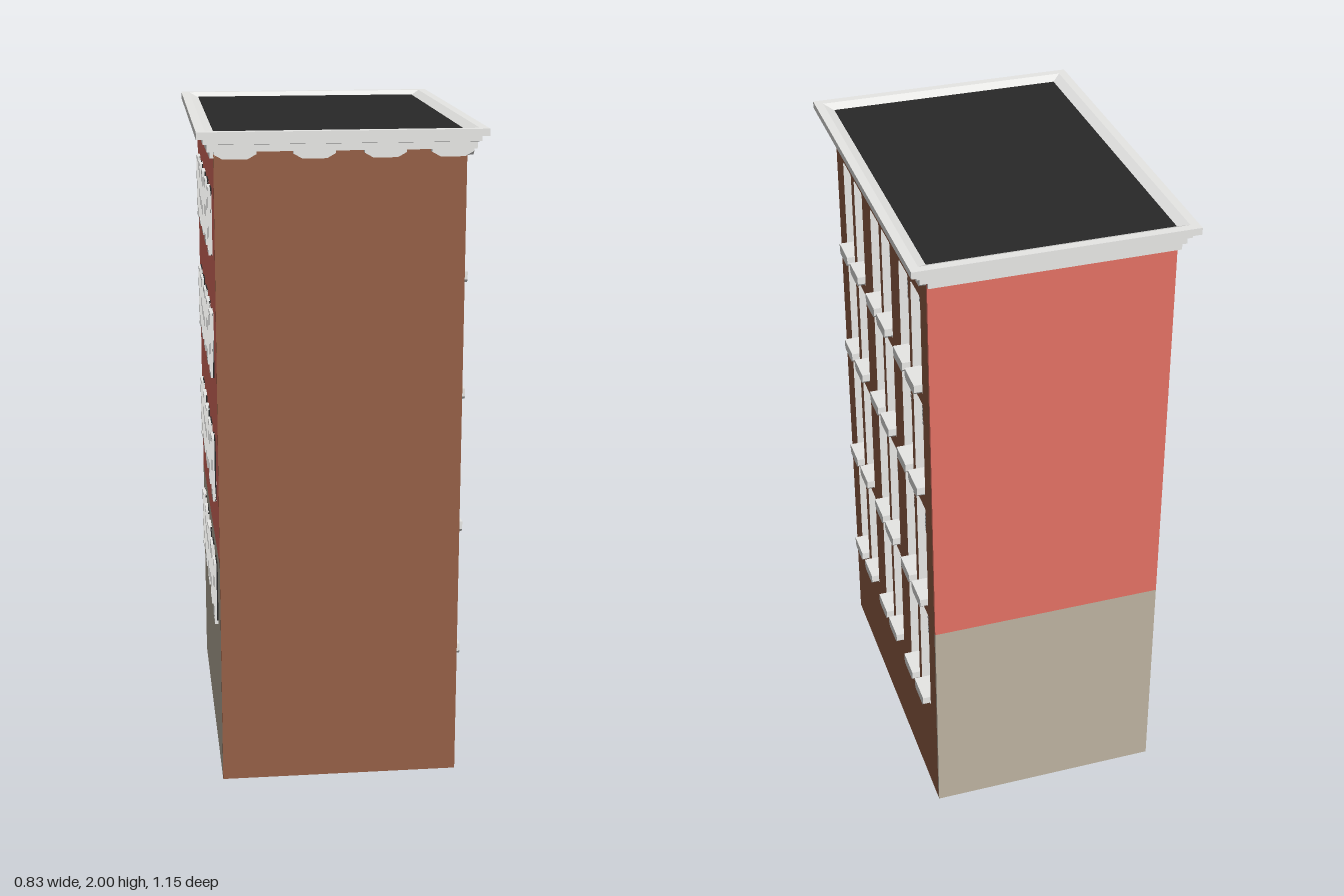
import * as THREE from 'three';

const mat = (name, color) => {
  const m = new THREE.MeshStandardMaterial({ color });
  m.name = name;
  return m;
};

export function createModel() {
  const brown = mat('brown brick', 0x956046);
  const red = mat('red brick', 0xe27163);
  const stone = mat('grey render', 0xbcb2a0);
  const trim = mat('pale trim', 0xe8e8e6);
  const dark = mat('dark glass and roofing', 0x282828);
  const blind = mat('grey blind', 0x828282);
  const slat = mat('light slat', 0xb6b6b6);
  const floorGrey = mat('floor grey', 0xa8a8a8);
  const darkRed = mat('dark red', 0xd60000);

  const building = new THREE.Group();
  building.name = 'building';
  const add = (name, geo, material, parent = building) => {
    const m = new THREE.Mesh(geo, material);
    m.name = name;
    parent.add(m);
    return m;
  };
  // Box given by its extents along x, y and z
  const box = (name, material, [x0, x1], [y0, y1], [z0, z1], parent) => {
    const m = add(name, new THREE.BoxGeometry(x1 - x0, y1 - y0, z1 - z0), material, parent);
    m.position.set((x0 + x1) / 2, (y0 + y1) / 2, (z0 + z1) / 2);
    return m;
  };
  const shapeOf = points => new THREE.Shape(points.map(p => new THREE.Vector2(...p)));

  // Plain walls: brown front, two-tone back and left-hand party walls
  const split = 0.7, top = 1.95;
  box('frontWall', brown, [-0.365, 0.36], [0, top], [0.51, 0.52]);
  for (const [part, material, ys] of [['Lower', stone, [0, split]], ['Upper', red, [split, top]]]) {
    box('backWall' + part, material, [-0.365, 0.36], ys, [-0.525, -0.515]);
    box('sideWall' + part, material, [-0.365, -0.355], ys, [-0.515, 0.51]);
  }

  // Window wall with real openings; pale reveals come from the side group
  const columns = [0.385, 0.25, 0.05, -0.077, -0.273, -0.4];
  const rows = [[0.35, 0.716], [0.753, 1.125], [1.175, 1.496], [1.533, 1.85]];
  const half = 0.05, depth = 0.03, glassX = 0.36 - depth;
  const wall = shapeOf([[-0.51, 0], [0.515, 0], [0.515, top], [-0.51, top]]);
  for (const z of columns) for (const [y0, y1] of rows) {
    const a = -z - half, b = -z + half, c = 0.007;
    wall.holes.push(new THREE.Path([[a, y0], [a, y1 - c], [a + c, y1], [b - c, y1], [b, y1 - c], [b, y0]]
      .map(p => new THREE.Vector2(...p))));
  }
  const wallGeo = new THREE.ExtrudeGeometry(wall, { depth, bevelEnabled: false });
  wallGeo.rotateY(Math.PI / 2).translate(glassX, 0, 0);
  add('windowWall', wallGeo, [brown, trim]);
  box('glassPane', dark, [glassX - 0.01, glassX + 0.001], [0.01, 1.94], [-0.5, 0.5]);

  // Blinds, slats and sills for the large windows
  const shortBlinds = new Set(['3,0', '3,5', '2,0', '2,3', '1,2', '0,4']);
  rows.forEach(([y0, y1], r) => columns.forEach((z, c) => {
    const w = new THREE.Group();
    w.name = 'largeWindow';
    building.add(w);
    const isShort = shortBlinds.has(r + ',' + c);
    const drop = isShort ? 0.072 : (y1 - y0) * 0.41;
    box('blind', blind, [glassX, glassX + 0.004], [y1 - drop, y1], [z - half, z + half], w);
    const slats = isShort ? 3 : 5;
    for (let i = 0; i < slats; i++) {
      const y = y1 - drop + i * 0.014;
      box('slat', slat, [glassX, glassX + 0.006], [y, y + 0.01], [z - half + 0.01 * i, z + half], w);
    }
    if (isShort) {
      box('brownPatch', brown, [glassX, glassX + 0.004], [y0 + 0.03, y0 + 0.065], [z - half, z + 0.006], w);
      box('brownPatchTop', brown, [glassX, glassX + 0.004], [y0 + 0.065, y0 + 0.09], [z - half, z - 0.006], w);
    }
    // Sill with clipped lower corners
    const s = shapeOf([[-half, 0.01], [-half + 0.01, 0], [half - 0.01, 0], [half, 0.01],
      [half, 0.034], [-half, 0.034]]);
    const sill = new THREE.ExtrudeGeometry(s, { depth: 0.053, bevelEnabled: false });
    sill.rotateY(Math.PI / 2).translate(glassX + 0.002, y0 - 0.002, z);
    add('sill', sill, trim, w);
  }));

  // Small framed windows on the party wall
  for (const y0 of [0.46, 0.86, 1.247, 1.618]) for (let i = 0; i < 5; i++) {
    const w = new THREE.Group();
    w.name = 'smallWindow';
    building.add(w);
    const z = -0.345 + i * 0.172, h = 0.198, hw = 0.039, t = 0.012;
    const xs = [-0.376, -0.364];
    box('pane', dark, [-0.369, -0.364], [y0, y0 + h], [z - hw, z + hw], w);
    for (const y of [y0, y0 + h - t]) box('frameRail', trim, xs, [y, y + t], [z - hw, z + hw], w);
    for (const s of [-1, 1]) {
      const e = z + s * (hw - t / 2);
      box('frameStile', trim, xs, [y0 + t, y0 + h - t], [e - t / 2, e + t / 2], w);
    }
    box('sashBar', trim, [-0.373, -0.364], [y0 + 0.065, y0 + 0.077], [z - hw + t, z + hw - t], w);
  }

  // Cornice: a stepped profile (offset, height) carried round the rectangle
  const profile = [[-0.004, 1.941], [0.023, 1.941], [0.023, 1.961], [0.034, 1.963], [0.034, 1.977],
    [0.053, 1.979], [0.053, 2], [0.027, 2], [-0.002, 1.986]];
  const pos = [];
  const corner = (k, [o, y]) => {
    const sx = [1, 1, -1, -1][k % 4], sz = [1, -1, -1, 1][k % 4];
    return [sx * (0.362 + o), y, sz * (0.52 + o)];
  };
  for (let i = 0; i < profile.length - 1; i++) for (let k = 0; k < 4; k++) {
    const a = corner(k, profile[i]), b = corner(k + 1, profile[i]);
    const c = corner(k + 1, profile[i + 1]), d = corner(k, profile[i + 1]);
    pos.push(...a, ...b, ...c, ...a, ...c, ...d);
  }
  const cornice = new THREE.BufferGeometry();
  cornice.setAttribute('position', new THREE.Float32BufferAttribute(pos, 3));
  cornice.computeVertexNormals();
  add('cornice', cornice, trim);

  // Tapered brackets under the cornice on the two street sides
  const bracket = (u, front) => {
    const s = shapeOf([[-0.06, 0.022], [-0.06, 0.014], [-0.035, 0], [0.035, 0], [0.06, 0.014], [0.06, 0.022]]);
    const g = new THREE.ExtrudeGeometry(s, { depth: 0.02, bevelEnabled: false });
    if (front) g.translate(u, 1.919, 0.519);
    else g.scale(0.72, 1, 1).rotateY(Math.PI / 2).translate(0.359, 1.919, u);
    add('bracket', g, trim);
  };
  for (const x of [-0.305, -0.08, 0.122, 0.315]) bracket(x, true);
  for (const z of [0.485, 0.33, 0.155, -0.01, -0.18, -0.355, -0.485]) bracket(z, false);

  // Plain band under the cornice on the other two sides
  box('backBand', trim, [-0.374, 0.36], [1.92, 1.943], [-0.535, -0.52]);
  box('sideBand', trim, [-0.376, -0.36], [1.92, 1.943], [-0.52, 0.52]);

  // Roof deck, floor and the stripe beneath it
  box('roof', dark, [-0.36, 0.36], [1.96, 1.988], [-0.519, 0.517]);
  box('floor', floorGrey, [-0.36, 0.355], [0.002, 0.01], [-0.52, 0.515]);
  const stripe = add('floorStripe', new THREE.BoxGeometry(0.06, 0.004, 0.82), darkRed);
  stripe.position.set(-0.19, 0.002, -0.05);
  stripe.rotation.y = -Math.atan2(0.16, 0.8);
  return building;
}
